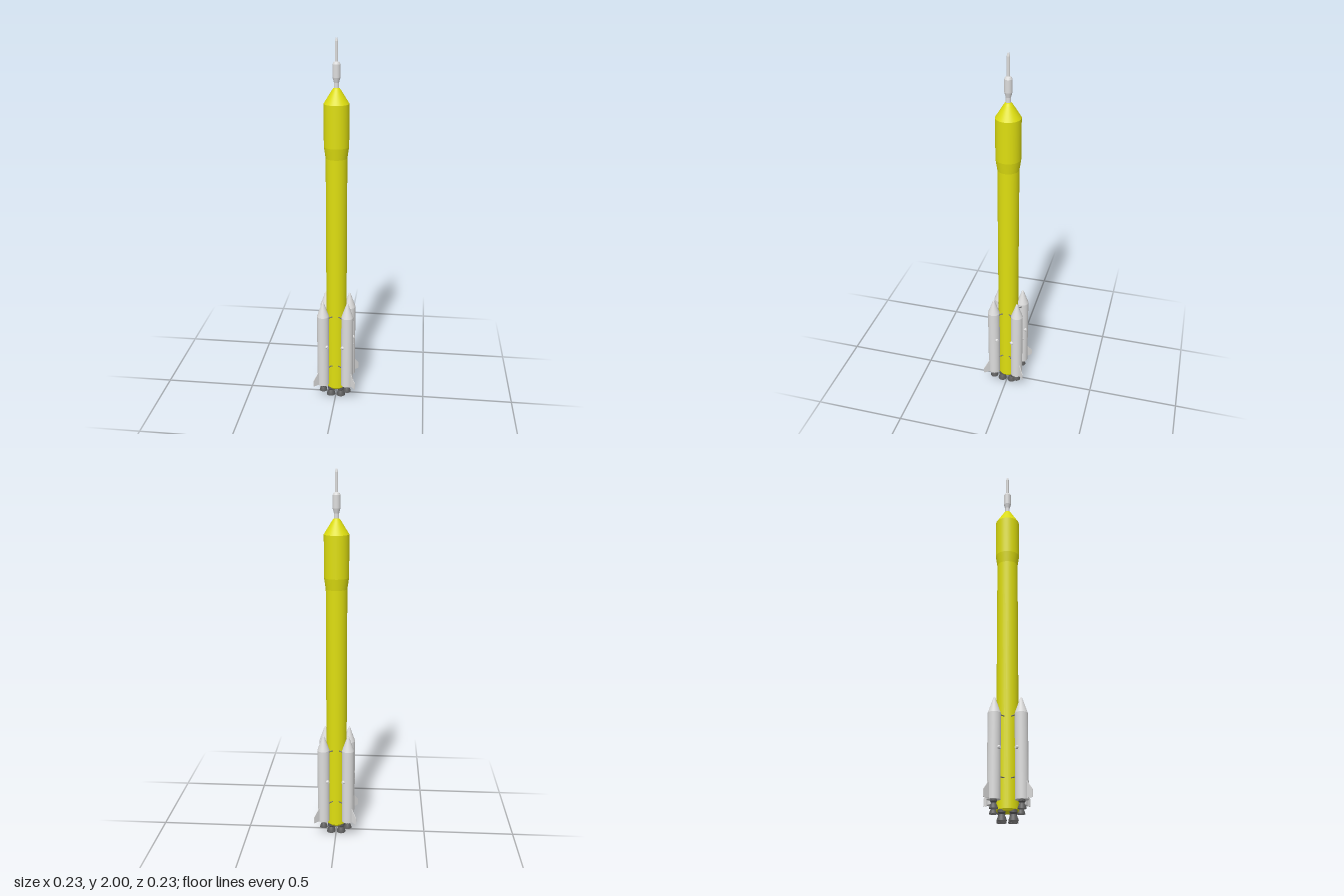
import * as THREE from 'three';

const mat = (name, color) => {
  const m = new THREE.MeshStandardMaterial({ color });
  m.name = name;
  return m;
};

export function createModel() {
  const yellow = mat('yellow hull', 0xdede10);
  const grey = mat('light grey', 0xdcdcdc);
  const dark = mat('dark engine metal', 0x5c5c5c);
  const strutGrey = mat('strut grey', 0x777777);
  const bellMat = dark.clone();
  bellMat.name = 'engine bell metal';
  bellMat.side = THREE.DoubleSide;

  const rocket = new THREE.Group();
  rocket.name = 'rocket';

  const add = (parent, name, geometry, material, x = 0, y = 0, z = 0) => {
    const m = new THREE.Mesh(geometry, material);
    m.name = name;
    m.position.set(x, y, z);
    parent.add(m);
    return m;
  };

  // Stack of frustums from [radius, y] pairs, with crisp edges between them
  const stack = (parent, name, profile, material, seg = 40) => {
    const g = new THREE.Group();
    g.name = name;
    const last = profile.length - 2;
    for (let i = 0; i <= last; i++) {
      const [r0, y0] = profile[i];
      const [r1, y1] = profile[i + 1];
      const geo = new THREE.CylinderGeometry(r1, r0, y1 - y0, seg, 1, true);
      add(g, name + 'Section', geo, material, 0, (y0 + y1) / 2, 0);
    }
    const cap = (r, y, rx) => {
      if (r > 0) add(g, name + 'Cap', new THREE.CircleGeometry(r, seg), material, 0, y, 0).rotation.x = rx;
    };
    cap(profile[0][0], profile[0][1], Math.PI / 2);
    cap(profile[last + 1][0], profile[last + 1][1], -Math.PI / 2);
    parent.add(g);
    return g;
  };

  // Engine: dark collar and an open flared bell
  const engine = (parent, x, y, z, r, h) => {
    const g = new THREE.Group();
    g.name = 'engine';
    g.position.set(x, y, z);
    stack(g, 'engineCollar', [[r * 0.5, h * 0.6], [r * 0.75, h * 0.75], [r * 0.75, h]], dark, 20);
    const pts = [[1, 0], [0.9, 0.2], [0.72, 0.42], [0.45, 0.64]]
      .map(([a, b]) => new THREE.Vector2(a * r, b * h));
    add(g, 'engineBell', new THREE.LatheGeometry(pts, 20), bellMat);
    parent.add(g);
  };

  // Core stage and wider payload fairing
  stack(rocket, 'coreStage', [[0.05, 0.045], [0.056, 0.055], [0.056, 1.4]], yellow);
  stack(rocket, 'fairing',
    [[0.056, 1.4], [0.065, 1.46], [0.065, 1.68], [0.024, 1.746], [0.016, 1.757], [0.008, 1.762]], yellow);

  // Escape tower on the nose
  stack(rocket, 'escapeTower',
    [[0.013, 1.755], [0.013, 1.785], [0.02, 1.81], [0.02, 1.875], [0.015, 1.885], [0.008, 1.888],
      [0.008, 1.985], [0.004, 2]], grey, 24);

  // Four core engines
  for (const sx of [-1, 1]) for (const sz of [-1, 1]) engine(rocket, sx * 0.028, 0, sz * 0.028, 0.025, 0.052);

  // Fin outline: distance outward from the booster axis against height
  const finShape = new THREE.Shape([[0.025, 0.095], [0.069, 0.095], [0.069, 0.132], [0.033, 0.178], [0.025, 0.178]]
    .map(([x, y]) => new THREE.Vector2(x, y)));
  const finGeo = new THREE.ExtrudeGeometry(finShape, { depth: 0.003, bevelEnabled: false });
  finGeo.translate(0, 0, -0.0015);

  // Four boosters; local +x points away from the core
  for (let i = 0; i < 4; i++) {
    const arm = new THREE.Group();
    arm.name = 'boosterArm';
    arm.rotation.y = Math.PI / 4 + i * Math.PI / 2;
    rocket.add(arm);

    const booster = new THREE.Group();
    booster.name = 'booster';
    booster.position.x = 0.095;
    arm.add(booster);
    stack(booster, 'boosterBody', [[0.033, 0.092], [0.033, 0.52], [0.006, 0.598], [0.002, 0.605]], grey, 32);
    add(booster, 'fin', finGeo, grey);
    engine(booster, 0, 0.05, 0, 0.022, 0.045);

    for (const s of [-1, 1]) {
      // Side fittings
      const knob = add(booster, 'sideFitting', new THREE.CylinderGeometry(0.007, 0.011, 0.012, 12), grey,
        0, 0.34, s * 0.036);
      knob.rotation.x = s * Math.PI / 2;
      // Struts running from the booster flanks to the core
      for (const y of [0.2, 0.51]) {
        const strut = add(arm, 'strut', new THREE.CylinderGeometry(0.003, 0.003, 0.05, 8), strutGrey,
          0.065, y, s * 0.024);
        strut.rotation.z = Math.PI / 2;
      }
    }
  }
  return rocket;
}
